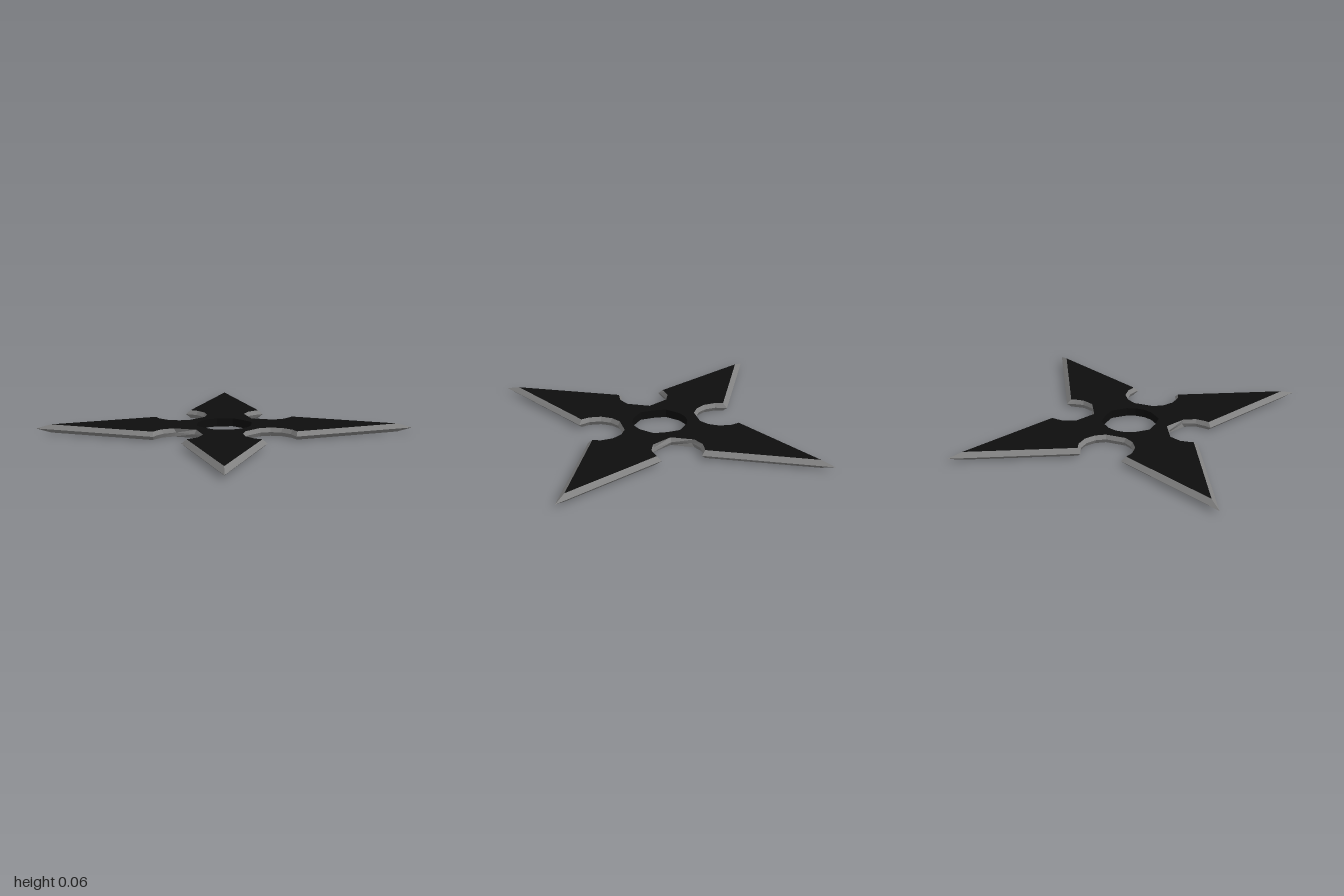
import * as THREE from 'three';

const TOP = 0.062, MID = 0.031;

// One quarter of each outline as [x, z], from the +z notch round to the +x notch
const EDGE = [[0, 0.31], [0.14, 0.36], [0.175, 0.455], [0.166, 0.53], [0.148, 0.58], [0.987, 1],
  [0.58, 0.155], [0.495, 0.187], [0.41, 0.178], [0.345, 0.135], [0.305, 0.07]];
const INSET = [[0, 0.29], [0.155, 0.372], [0.19, 0.458], [0.184, 0.52], [0.177, 0.557], [0.907, 0.92],
  [0.557, 0.185], [0.495, 0.205], [0.405, 0.195], [0.332, 0.147], [0.289, 0.076]];
const HOLE = [[0, 0.2], [0.1, 0.19], [0.18, 0.1], [0.203, 0.035]];

// Mirror a quarter into a full loop, counterclockwise seen from above
function fullLoop(q) {
  const flip = (sx, sz) => q.map(([x, z]) => [x * sx, z * sz]);
  return [...flip(1, 1), ...flip(1, -1).reverse(), ...flip(-1, -1).slice(1), ...flip(-1, 1).reverse().slice(0, -1)];
}

// Band of flat quads between two matching loops at two heights
function band(lower, y0, upper, y1) {
  const pos = [];
  lower.forEach((a, i) => {
    const j = (i + 1) % lower.length;
    const A = [a[0], y0, a[1]], B = [lower[j][0], y0, lower[j][1]];
    const C = [upper[j][0], y1, upper[j][1]], D = [upper[i][0], y1, upper[i][1]];
    pos.push(...A, ...B, ...C, ...A, ...C, ...D);
  });
  const g = new THREE.BufferGeometry();
  g.setAttribute('position', new THREE.Float32BufferAttribute(pos, 3));
  g.computeVertexNormals();
  return g;
}

export function createModel() {
  const black = new THREE.MeshStandardMaterial({ color: 0x0d0d0d });
  black.name = 'blackened steel';
  const grey = new THREE.MeshStandardMaterial({ color: 0x808080 });
  grey.name = 'sharpened steel';

  const group = new THREE.Group();
  group.name = 'throwingStar';
  const add = (name, geometry, material) => {
    const mesh = new THREE.Mesh(geometry, material);
    mesh.name = name;
    group.add(mesh);
    return mesh;
  };

  const edge = fullLoop(EDGE), inset = fullLoop(INSET), hole = fullLoop(HOLE);

  // Flat faces with the central hole
  const toVectors = (loop) => loop.map(([x, z]) => new THREE.Vector2(x, -z));
  const shape = new THREE.Shape(toVectors(inset));
  shape.holes.push(new THREE.Path(toVectors(hole)));
  const face = new THREE.ShapeGeometry(shape);
  add('topFace', face.clone().rotateX(-Math.PI / 2).translate(0, TOP, 0), black);
  add('bottomFace', face.clone().rotateX(Math.PI / 2), black);

  // Wall of the central hole, facing inwards
  const inward = [...hole].reverse();
  add('holeWall', band(inward, 0, inward, TOP), black);

  // Ground bevels meeting at the cutting edge
  add('upperBevel', band(edge, MID, inset, TOP), grey);
  add('lowerBevel', band(inset, 0, edge, MID), grey);

  return group;
}
